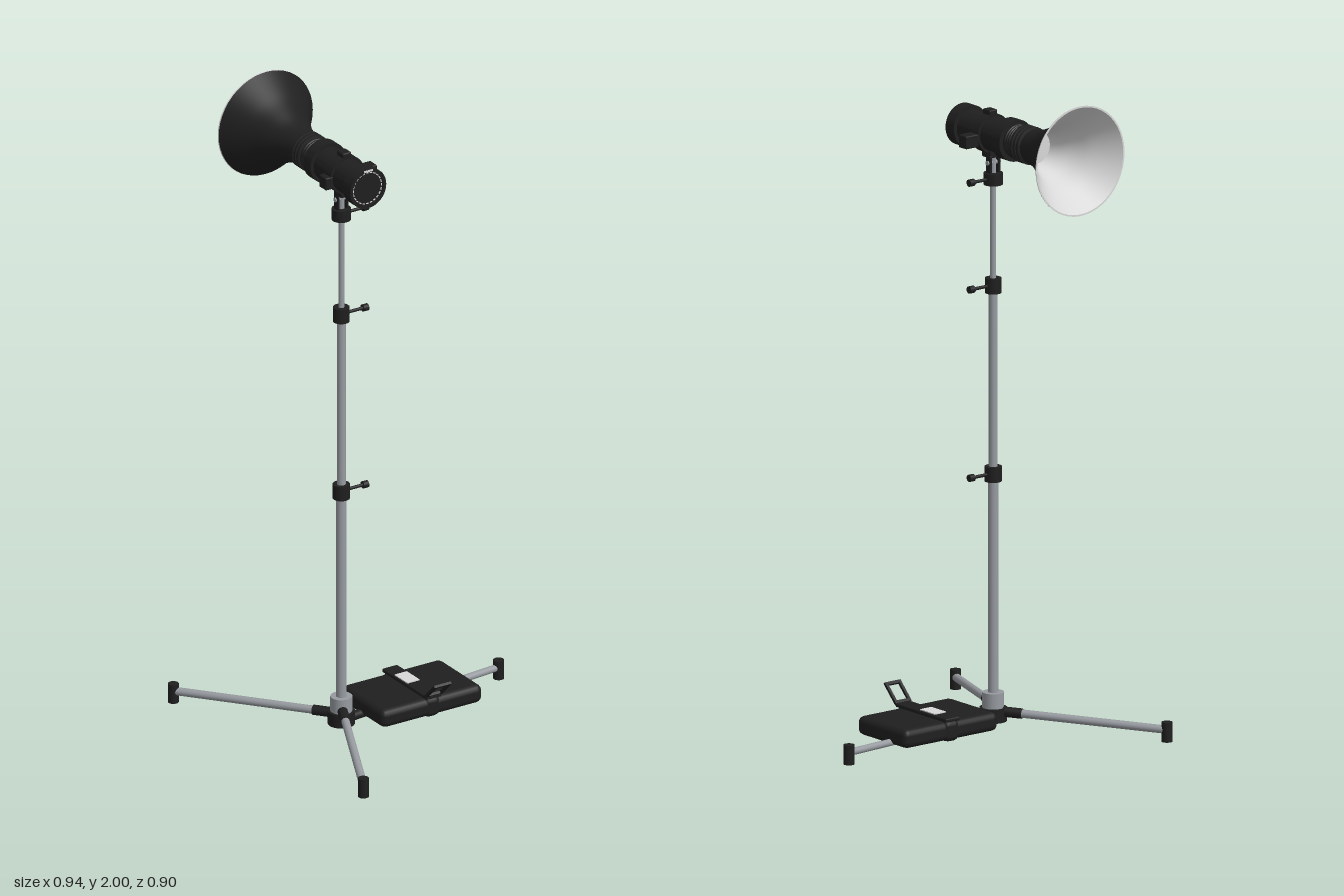
import * as THREE from 'three';
import { toCreasedNormals } from 'three/addons/utils/BufferGeometryUtils.js';
import { RoundedBoxGeometry } from 'three/addons/geometries/RoundedBoxGeometry.js';

const PX = -0.145, PZ = 0.005, LAMP_Y = 1.832;

export function createModel() {
  const model = new THREE.Group();
  const mat = (name, color) => {
    const m = new THREE.MeshStandardMaterial({ color });
    m.name = name;
    return m;
  };
  const black = mat('black', 0x1f1f1f);
  const steel = mat('steel', 0x979ba0);
  const white = mat('reflector white', 0xd8d8d8);

  const group = (name, parent = model) => {
    const g = new THREE.Group();
    g.name = name;
    parent.add(g);
    return g;
  };
  const add = (parent, name, geo, material, x = 0, y = 0, z = 0) => {
    const m = new THREE.Mesh(geo, material);
    m.name = name;
    m.position.set(x, y, z);
    parent.add(m);
    return m;
  };
  // upright cylinder between two heights
  const post = (parent, name, r, y0, y1, material, x = PX, z = PZ) =>
    add(parent, name, new THREE.CylinderGeometry(r, r, y1 - y0, 24), material, x, (y0 + y1) / 2, z);
  // cylinder between two points
  const rod = (parent, name, a, b, r, material) => {
    const d = b.clone().sub(a);
    const m = add(parent, name, new THREE.CylinderGeometry(r, r, d.length(), 20), material);
    m.position.copy(a).addScaledVector(d, 0.5);
    m.quaternion.setFromUnitVectors(new THREE.Vector3(0, 1, 0), d.normalize());
    return m;
  };
  const box = (parent, name, w, h, d, x, y, z, material = black, r = 0.004) =>
    add(parent, name, new RoundedBoxGeometry(w, h, d, 2, r), material, x, y, z);
  const V = (x, y, z) => new THREE.Vector3(x, y, z);

  // telescopic pole
  const pole = group('pole');
  post(pole, 'lowerTube', 0.016, 0.06, 0.78, steel);
  post(pole, 'middleTube', 0.0135, 0.78, 1.36, steel);
  post(pole, 'upperTube', 0.009, 1.36, 1.76, steel);
  for (const [y, r, h] of [[0.785, 0.026, 0.046], [1.365, 0.025, 0.046], [1.694, 0.029, 0.036]]) {
    const clamp = group('poleClamp', pole);
    post(clamp, 'collar', r, y - h / 2, y + h / 2, black);
    rod(clamp, 'screw', V(PX, y, PZ), V(-0.06, y, PZ), 0.005, black);
    rod(clamp, 'knob', V(-0.07, y, PZ), V(-0.052, y, PZ), 0.011, black);
  }

  // hub and three legs with feet
  const base = group('tripodBase');
  post(base, 'hubSleeve', 0.033, 0.062, 0.113, steel);
  post(base, 'hub', 0.041, 0.024, 0.066, black);
  const legs = [
    { foot: [-0.453, -0.438], hubY: 0.055, r: 0.0125 },
    { foot: [-0.346, 0.434], hubY: 0.078, r: 0.0125 },
    { foot: [0.45, -0.05], hubY: 0.034, r: 0.011 },
  ];
  for (const { foot: [x, z], hubY, r } of legs) {
    const leg = group('leg', base);
    const start = V(PX, hubY, PZ), end = V(x, 0.036, z);
    const dir = end.clone().sub(start).normalize();
    rod(leg, 'legTube', start.clone().addScaledVector(dir, 0.035), end, r, steel);
    rod(leg, 'legJoint', start.clone().addScaledVector(dir, 0.025),
      start.clone().addScaledVector(dir, 0.09), r + 0.003, black);
    post(leg, 'foot', 0.0165, 0, 0.06, black, x, z);
  }

  // battery case with strap, label and carrying loop
  const pack = group('batteryCase');
  box(pack, 'caseBody', 0.358, 0.058, 0.236, 0.105, 0.057, 0.005, black, 0.02);
  box(pack, 'caseStrap', 0.054, 0.066, 0.244, 0.106, 0.058, 0.003, black, 0.018);
  box(pack, 'strapTop', 0.054, 0.012, 0.242, 0.106, 0.093, 0.004);
  add(pack, 'strapLabel', new THREE.BoxGeometry(0.044, 0.004, 0.07), white, 0.105, 0.1, -0.02);
  const rect = (P, w, y0, y1) => {
    const p = new P();
    p.moveTo(-w, y0); p.lineTo(w, y0); p.lineTo(w, y1); p.lineTo(-w, y1); p.closePath();
    return p;
  };
  const loopShape = rect(THREE.Shape, 0.03, 0, 0.076);
  loopShape.holes.push(rect(THREE.Path, 0.021, 0.01, 0.066));
  const loop = add(pack, 'carryLoop', new THREE.ExtrudeGeometry(loopShape, { depth: 0.008, bevelEnabled: false }),
    black, 0.106, 0.1, 0.117);
  loop.rotation.x = Math.PI / 4;

  // lamp head: profiles are [radius, z], turned about the lamp axis
  const lamp = group('lampHead');
  lamp.position.set(PX, LAMP_Y, 0);
  const turned = (name, profile, material, crease) => {
    let geo = new THREE.LatheGeometry(profile.map(([r, z]) => new THREE.Vector2(r, -z)), 48);
    geo.rotateX(-Math.PI / 2);
    if (crease) geo = toCreasedNormals(geo, 0.6);
    return add(lamp, name, geo, material);
  };
  turned('lampBody', [
    [0, 0.146], [0.054, 0.146], [0.054, 0.152], [0.064, 0.152], [0.064, 0.112], [0.0525, 0.112],
    [0.0525, -0.065], [0.064, -0.065], [0.064, -0.104], [0.05, -0.104], [0.05, -0.2], [0, -0.2],
  ], black, true);
  for (let i = 0; i < 3; i++)
    turned('neckRib', [[0.05, -0.142 - i * 0.015], [0.058, -0.144 - i * 0.015],
      [0.058, -0.152 - i * 0.015], [0.05, -0.154 - i * 0.015]], black, true);
  for (let i = 0; i < 3; i++)
    turned('neckThread', [[0.049, -0.11 - i * 0.01], [0.0525, -0.113 - i * 0.01], [0.049, -0.116 - i * 0.01]], black, true);

  // flared reflector: dark shell, pale lining and rim
  const flare = [[0.053, -0.19], [0.058, -0.22], [0.067, -0.25], [0.082, -0.282],
    [0.103, -0.32], [0.13, -0.358], [0.168, -0.408]];
  const curve = new THREE.SplineCurve(flare.map(([r, z]) => new THREE.Vector2(r, z)));
  const shell = curve.getPoints(24).map((p) => [p.x, p.y]);
  turned('reflectorShell', shell, black);
  turned('reflectorRim', [[0.168, -0.405], [0.169, -0.409], [0.164, -0.409]], white, true);
  turned('reflectorLining', shell.map(([r, z]) => [r - 0.004, z - 0.001]).reverse(), white);
  turned('reflectorBack', [[0.05, -0.202], [0, -0.202]], white);

  // dial ticks and tag on the rear cap
  for (let i = 0; i < 24; i++) {
    const a = (i / 24) * Math.PI * 2;
    const tick = add(lamp, 'dialTick', new THREE.BoxGeometry(0.008, 0.003, 0.002), white,
      Math.cos(a) * 0.05, Math.sin(a) * 0.05, 0.147);
    tick.rotation.z = a + Math.PI / 2;
  }
  add(lamp, 'rearTag', new THREE.BoxGeometry(0.03, 0.006, 0.002), white, 0, 0.058, 0.153);

  // clamp band, side lugs and the bracket down to the pole
  turned('clampBand', [[0.052, 0.038], [0.06, 0.038], [0.06, 0.002], [0.052, 0.002]], black, true);
  box(lamp, 'clampTopLug', 0.03, 0.02, 0.036, 0, 0.063, 0.02);
  box(lamp, 'clampLeftLug', 0.048, 0.04, 0.038, 0.082, -0.012, 0.02);
  box(lamp, 'clampRightLug', 0.03, 0.04, 0.038, -0.062, -0.012, 0.02);
  box(lamp, 'clampFoot', 0.04, 0.026, 0.042, 0, -0.06, 0.015);
  for (const s of [-1, 1]) box(lamp, 'bracketCheek', 0.008, 0.06, 0.024, s * 0.016, -0.095, PZ);
  rod(lamp, 'tiltBolt', V(-0.024, -0.088, PZ), V(0.024, -0.088, PZ), 0.007, steel);

  return model;
}
